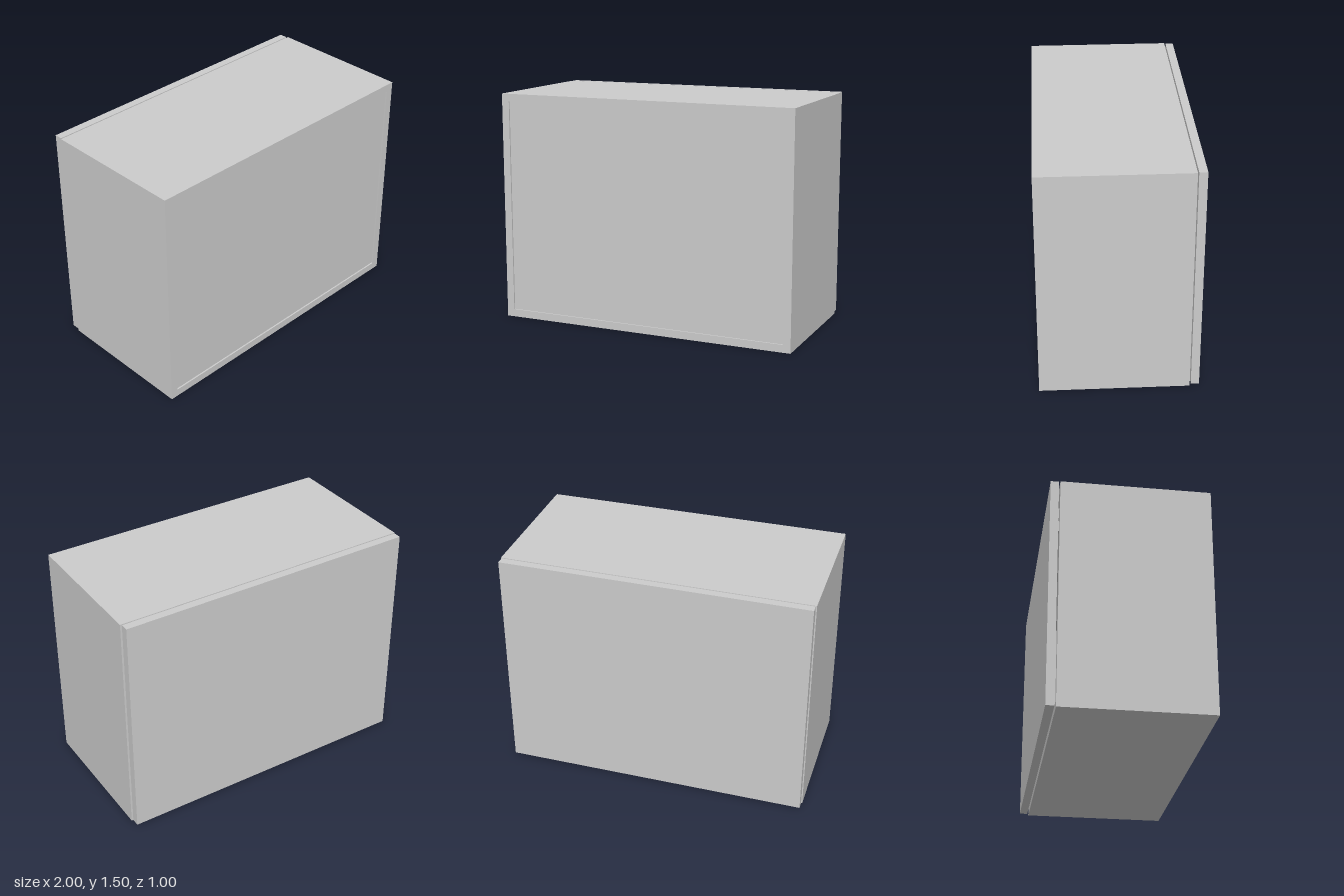
import * as THREE from 'three';

const material = new THREE.MeshStandardMaterial({ color: 0xcccccc });

// Box given by its lower and upper limits on each axis
function box(parent, name, [x0, x1], [y0, y1], [z0, z1]) {
  const mesh = new THREE.Mesh(new THREE.BoxGeometry(x1 - x0, y1 - y0, z1 - z0), material);
  mesh.name = name;
  mesh.position.set((x0 + x1) / 2, (y0 + y1) / 2, (z0 + z1) / 2);
  parent.add(mesh);
  return mesh;
}

// Cylinder running between two points
function rod(parent, name, radius, from, to) {
  const a = new THREE.Vector3(...from), b = new THREE.Vector3(...to);
  const dir = b.clone().sub(a);
  const mesh = new THREE.Mesh(new THREE.CylinderGeometry(radius, radius, dir.length(), 16), material);
  mesh.name = name;
  mesh.position.copy(a).add(b).multiplyScalar(0.5);
  mesh.quaternion.setFromUnitVectors(new THREE.Vector3(0, 1, 0), dir.normalize());
  parent.add(mesh);
  return mesh;
}

export function createModel() {
  const model = new THREE.Group();
  model.name = 'flapCabinet';

  const H = 1.5, T = 0.05;          // height and board thickness
  const depth = [-0.44, 0.5];       // carcass depth
  const doorFace = -0.448;          // inner face of the flap door

  // Hollow carcass
  const carcass = new THREE.Group();
  carcass.name = 'carcass';
  model.add(carcass);
  box(carcass, 'rightSide', [-1, -1 + T], [0, H], depth);
  box(carcass, 'leftSide', [1 - T, 1], [0, H], depth);
  box(carcass, 'bottomBoard', [-1 + T, 1 - T], [0, T], depth);
  box(carcass, 'topBoard', [-1 + T, 1 - T], [H - T, H], depth);

  // Thin panel set slightly inside the frame
  box(carcass, 'insetPanel', [-1 + T, 1 - T], [T, H - T], [0.475, 0.49]);

  // Flap door, held just clear of the carcass
  box(model, 'flapDoor', [-0.994, 0.992], [0.008, H], [-0.5, doorFace]);

  // Concealed hinges under the top board and lift stays at the sides
  for (const s of [-1, 1]) {
    const fittings = new THREE.Group();
    fittings.name = s > 0 ? 'leftFittings' : 'rightFittings';
    model.add(fittings);
    const span = (a, b) => (s > 0 ? [a, b] : [-b, -a]);

    box(fittings, 'hingePlate', span(0.64, 0.84), [1.36, 1.43], [doorFace, -0.443]);
    box(fittings, 'hingeArm', span(0.71, 0.77), [1.38, 1.45], [-0.443, -0.33]);

    box(fittings, 'stayDoorBracket', span(0.88, 0.91), [1.2, 1.27], [doorFace, -0.43]);
    box(fittings, 'staySideBracket', span(0.92, 0.95), [0.9, 1.0], [-0.36, -0.3]);
    rod(fittings, 'stayPiston', 0.008, [s * 0.9, 1.23, -0.42], [s * 0.92, 1.09, -0.375]);
    rod(fittings, 'stayCylinder', 0.016, [s * 0.915, 1.1, -0.378], [s * 0.925, 0.95, -0.33]);
  }

  return model;
}
